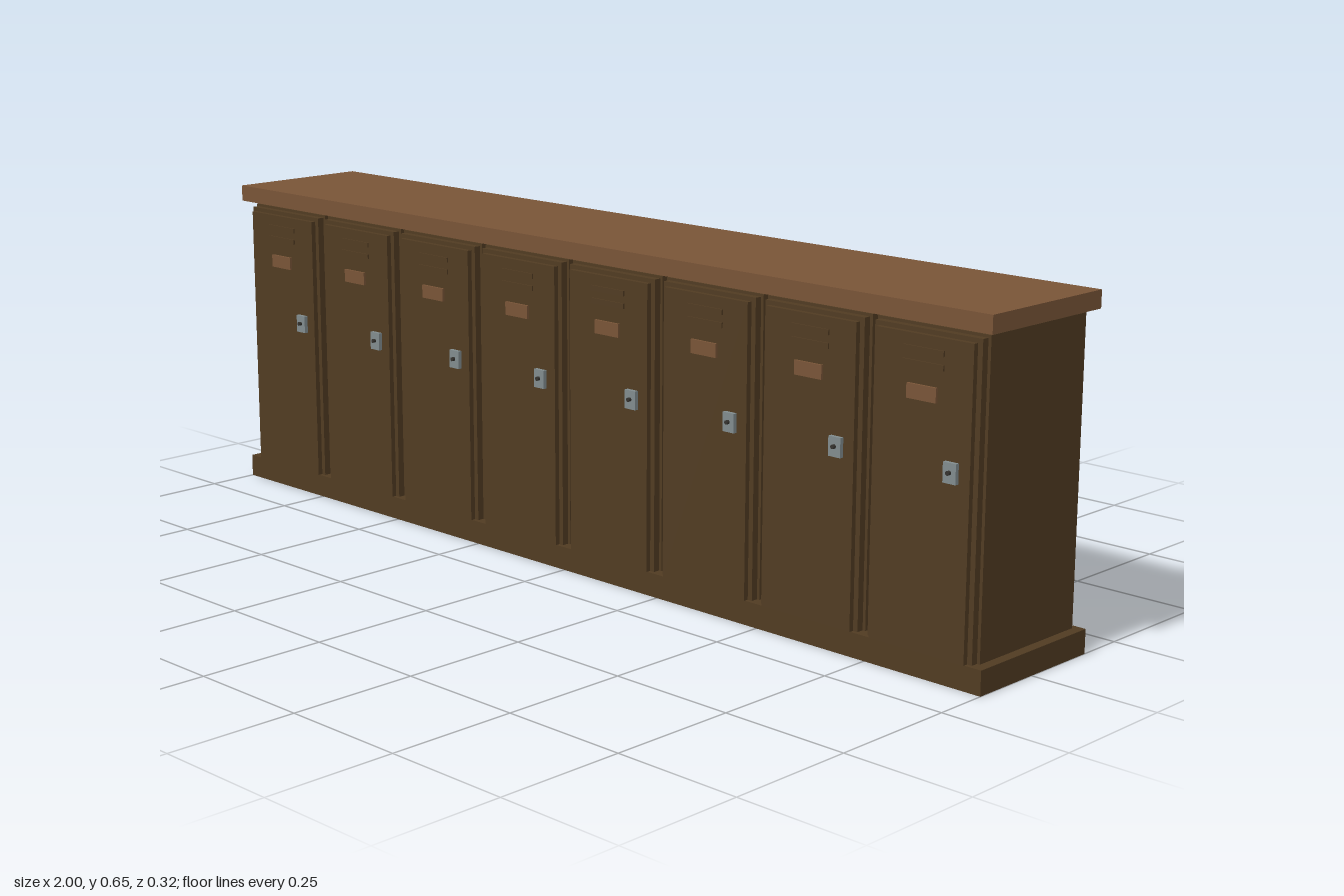
import * as THREE from 'three';

export function createModel() {
  const group = new THREE.Group();
  group.name = 'lockerRow';
  const material = (name, color) => new THREE.MeshStandardMaterial({ name, color });
  const darkWood = material('dark brown', 0x503b22);
  const lightWood = material('light brown', 0x785437);
  const steel = material('grey steel', 0x808b8d);
  const iron = material('dark iron', 0x35332f);

  // Box given by its limits on each axis
  const box = (parent, name, mat, [x0, x1], [y0, y1], [z0, z1]) => {
    const mesh = new THREE.Mesh(new THREE.BoxGeometry(x1 - x0, y1 - y0, z1 - z0), mat);
    mesh.position.set((x0 + x1) / 2, (y0 + y1) / 2, (z0 + z1) / 2);
    mesh.name = name;
    parent.add(mesh);
    return mesh;
  };

  // Plinth and top board
  box(group, 'plinth', darkWood, [-1, 1], [0, 0.046], [-0.158, 0.145]);
  box(group, 'topBoard', lightWood, [-1, 1], [0.617, 0.65], [-0.16, 0.147]);

  // Eight identical lockers
  const count = 8, pitch = 0.2465;
  for (let i = 0; i < count; i++) {
    const locker = new THREE.Group();
    locker.name = `locker${i + 1}`;
    locker.position.x = (i - (count - 1) / 2) * pitch;
    group.add(locker);

    // Carcass, stepped frame and door
    box(locker, 'carcass', darkWood, [-0.118, 0.118], [0.046, 0.61], [-0.145, 0.123]);
    box(locker, 'frame', darkWood, [-0.112, 0.112], [0.046, 0.605], [0.123, 0.137]);
    box(locker, 'door', darkWood, [-0.102, 0.102], [0.046, 0.597], [0.137, 0.147]);

    // Vent slats and name plate
    for (const y of [0.547, 0.571]) {
      box(locker, 'ventSlat', darkWood, [-0.043, 0.043], [y - 0.005, y + 0.005], [0.146, 0.15]);
    }
    box(locker, 'namePlate', lightWood, [-0.031, 0.031], [0.486, 0.512], [0.146, 0.152]);

    // Lock plate with turning knob
    box(locker, 'lockPlate', steel, [0.052, 0.079], [0.356, 0.392], [0.146, 0.155]);
    const knob = new THREE.Mesh(new THREE.CylinderGeometry(0.004, 0.004, 0.007, 12), iron);
    knob.name = 'lockKnob';
    knob.rotation.x = Math.PI / 2;
    knob.position.set(0.0655, 0.375, 0.1575);
    locker.add(knob);
  }
  return group;
}
